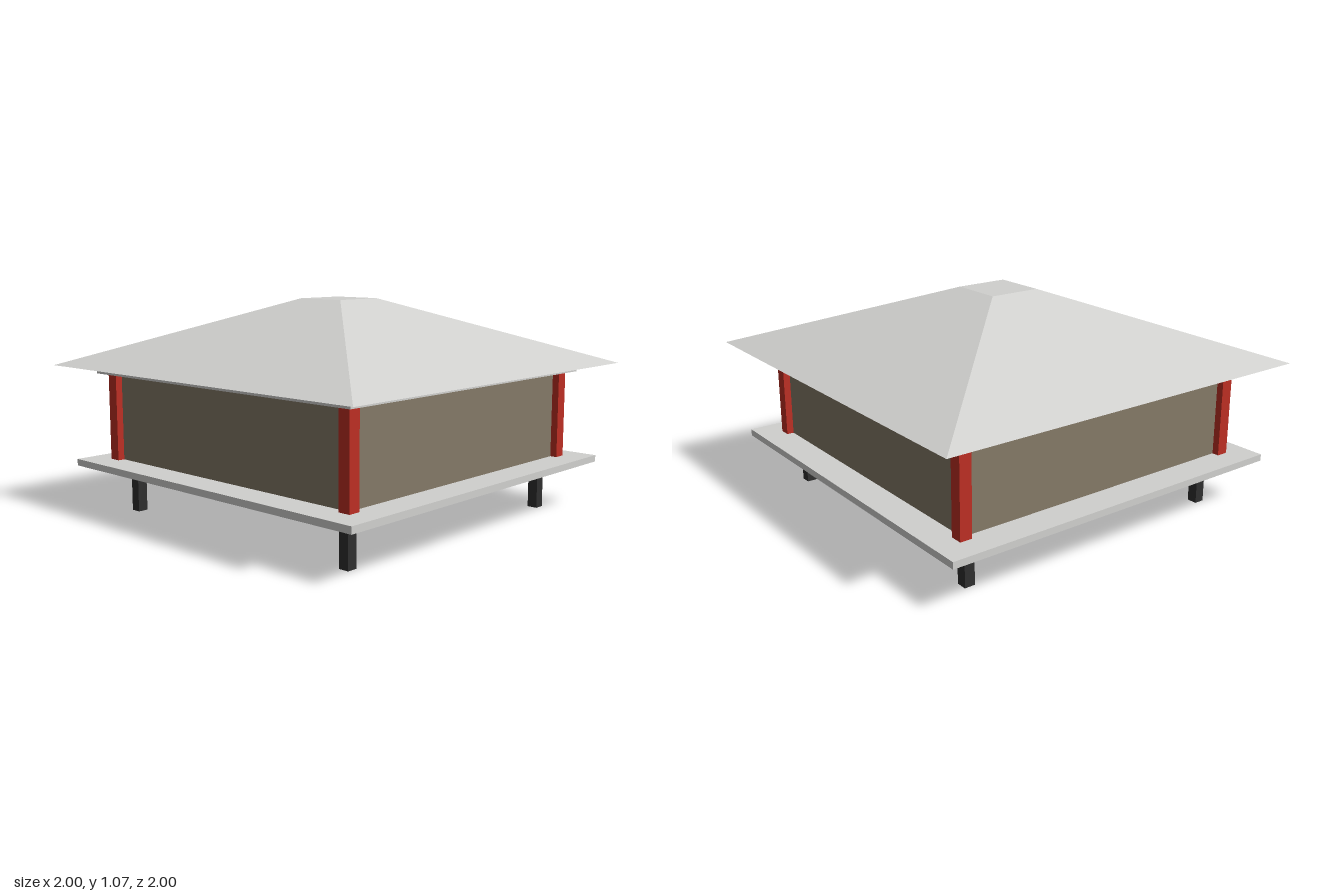
import * as THREE from 'three';

const material = (name, color) => {
  const m = new THREE.MeshStandardMaterial({ color });
  m.name = name;
  return m;
};

export function createModel() {
  const group = new THREE.Group();
  group.name = 'pavilion';

  const paleGrey = material('pale grey', 0xd0d0ce);
  const brown = material('brown', 0x847967);
  const red = material('red', 0xbc2e23);
  const charcoal = material('charcoal', 0x2e2e2e);

  // Square block between two heights, centred on (x, z)
  function block(name, width, y0, y1, mat, x = 0, z = 0) {
    const mesh = new THREE.Mesh(new THREE.BoxGeometry(width, y1 - y0, width), mat);
    mesh.name = name;
    mesh.position.set(x, (y0 + y1) / 2, z);
    group.add(mesh);
    return mesh;
  }

  // Floor, walls and eaves beam
  block('floorPlatform', 1.86, 0.232, 0.265, paleGrey);
  block('walls', 1.55, 0.265, 0.7, brown);
  block('eavesBeam', 1.7, 0.698, 0.74, paleGrey);

  // Corner posts and stilts
  for (const sx of [-1, 1]) {
    for (const sz of [-1, 1]) {
      block('cornerPost', 0.06, 0.265, 0.7, red, sx * 0.78, sz * 0.78);
      block('stilt', 0.052, 0, 0.232, charcoal, sx * 0.714, sz * 0.714);
    }
  }

  // Hipped roof: a box whose top is drawn in to a small flat square
  const roof = block('roof', 2, 0.74, 1.068, paleGrey);
  const p = roof.geometry.attributes.position;
  for (let i = 0; i < p.count; i++) {
    if (p.getY(i) > 0) p.setXYZ(i, p.getX(i) * 0.133, p.getY(i), p.getZ(i) * 0.133);
  }
  roof.geometry = roof.geometry.toNonIndexed();
  roof.geometry.computeVertexNormals();

  return group;
}
